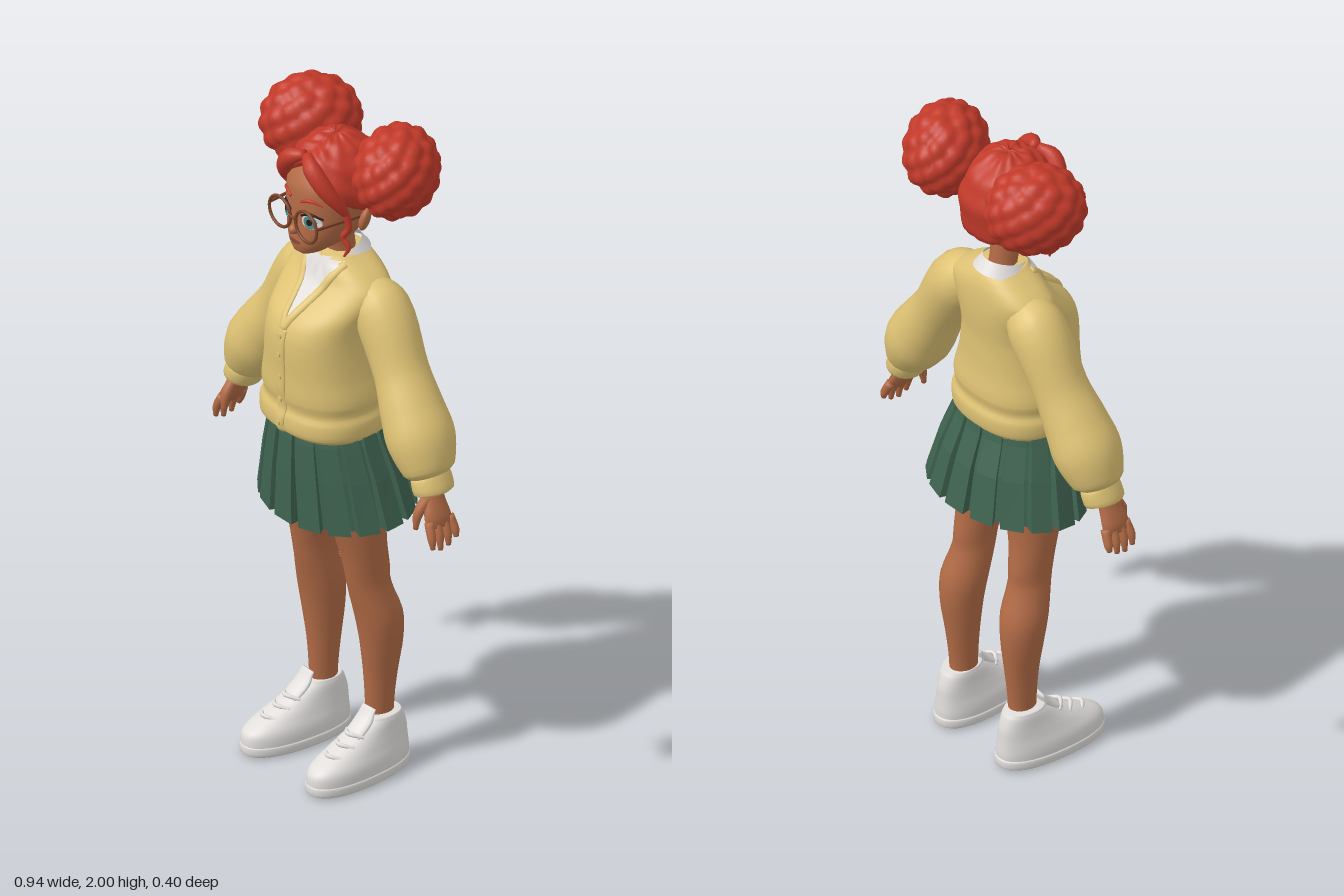
import * as THREE from 'three';
import { mergeVertices } from 'three/addons/utils/BufferGeometryUtils.js';

const V = (x, y, z) => new THREE.Vector3(x, y, z);
const mat = (name, color, side = THREE.FrontSide) => {
  const m = new THREE.MeshStandardMaterial({ color, side });
  m.name = name;
  return m;
};

// Skin closed rings of points, with optional end caps
function loft(rings, capStart = true, capEnd = true) {
  const n = rings[0].length, pos = [], idx = [];
  rings.flat().forEach(p => pos.push(p.x, p.y, p.z));
  for (let i = 0; i < rings.length - 1; i++) for (let j = 0; j < n; j++) {
    const k = (j + 1) % n, a = i * n + j, b = i * n + k;
    idx.push(a, b, b + n, a, b + n, a + n);
  }
  const cap = (r, flip) => {
    const c = rings[r].reduce((s, p) => s.add(p), V(0, 0, 0)).divideScalar(n), ci = pos.length / 3;
    pos.push(c.x, c.y, c.z);
    for (let j = 0; j < n; j++) {
      const a = r * n + j, b = r * n + (j + 1) % n;
      idx.push(ci, flip ? b : a, flip ? a : b);
    }
  };
  if (capStart) cap(0, true);
  if (capEnd) cap(rings.length - 1, false);
  const g = new THREE.BufferGeometry();
  g.setAttribute('position', new THREE.Float32BufferAttribute(pos, 3));
  g.setIndex(idx);
  g.computeVertexNormals();
  return g;
}

// Smoothly read a profile of rows [y, ...values] at height y
function sample(rows, y) {
  let i = 0;
  while (i < rows.length - 2 && y > rows[i + 1][0]) i++;
  const f = THREE.MathUtils.clamp((y - rows[i][0]) / (rows[i + 1][0] - rows[i][0]), 0, 1);
  const r = k => rows[THREE.MathUtils.clamp(k, 0, rows.length - 1)];
  return rows[i].slice(1).map((_, c) => {
    const [a, b, d, e] = [r(i - 1), r(i), r(i + 1), r(i + 2)].map(q => q[c + 1]);
    return b + 0.5 * f * (d - a + f * (2 * a - 5 * b + 4 * d - e + f * (3 * (b - d) + e - a)));
  });
}
const spow = (v, p) => Math.sign(v) * Math.abs(v) ** p;
// Body from rows [y, halfWidth, zFront, zBack, xCentre]
function body(rows, n = 2, seg = 32, sub = 3) {
  const rings = [];
  for (let i = 0; i <= (rows.length - 1) * sub; i++) {
    const k = Math.min(Math.floor(i / sub), rows.length - 2);
    const y = THREE.MathUtils.lerp(rows[k][0], rows[k + 1][0], i / sub - k);
    const [hx, zf, zb, xc = 0] = sample(rows, y);
    rings.push(Array.from({ length: seg }, (_, j) => {
      const a = j / seg * Math.PI * 2;
      return V(xc + hx * spow(Math.sin(a), 2 / n), y, (zf + zb) / 2 + (zf - zb) / 2 * spow(Math.cos(a), 2 / n));
    }));
  }
  return loft(rings);
}
const frontZ = (rows, n, x, y) => {
  const [hx, zf, zb] = sample(rows, y);
  return (zf + zb) / 2 + (zf - zb) / 2 * Math.max(0, 1 - Math.abs(x / hx) ** n) ** (1 / n);
};
// Tapered sweep; each radius is a number or [along ref, across]
function sweep(pts, radii, ref = V(0, 0, 1), steps = 4, seg = 12) {
  const curve = new THREE.CatmullRomCurve3(pts), total = (pts.length - 1) * steps, rings = [];
  const rows = radii.map((r, i) => [i, ...(Array.isArray(r) ? r : [r, r])]);
  for (let i = 0; i <= total; i++) {
    const t = i / total, p = curve.getPoint(t), T = curve.getTangent(t);
    const N = ref.clone().addScaledVector(T, -T.dot(ref)).normalize(), B = T.clone().cross(N);
    const [rn, rb] = sample(rows, t * (pts.length - 1));
    rings.push(Array.from({ length: seg }, (_, j) => {
      const a = j / seg * Math.PI * 2;
      return p.clone().addScaledVector(N, rn * Math.cos(a)).addScaledVector(B, rb * Math.sin(a));
    }));
  }
  return loft(rings);
}

const TORSO = [[1.065, 0.17, 0.18, -0.11], [1.08, 0.18, 0.195, -0.12], [1.12, 0.18, 0.195, -0.122], [1.145, 0.17, 0.185, -0.112],
  [1.18, 0.175, 0.192, -0.118], [1.25, 0.16, 0.192, -0.108], [1.35, 0.148, 0.194, -0.105], [1.41, 0.152, 0.172, -0.11],
  [1.46, 0.165, 0.118, -0.112], [1.5, 0.165, 0.078, -0.11], [1.53, 0.13, 0.065, -0.105], [1.555, 0.09, 0.055, -0.095], [1.575, 0.06, 0.045, -0.08]];
const HEAD = [[1.6, 0.022, 0.125, 0.07], [1.61, 0.042, 0.137, 0.03], [1.635, 0.07, 0.143, -0.03], [1.67, 0.092, 0.142, -0.075],
  [1.71, 0.105, 0.139, -0.1], [1.76, 0.11, 0.139, -0.11], [1.81, 0.108, 0.133, -0.11], [1.86, 0.088, 0.1, -0.09], [1.89, 0.055, 0.06, -0.05]];
const LEG = [[0.12, 0.034, -0.012, -0.094, 0.12], [0.2, 0.035, -0.01, -0.095, 0.12], [0.3, 0.043, -0.004, -0.106, 0.121], [0.4, 0.056, 0.008, -0.118, 0.124],
  [0.48, 0.063, 0.022, -0.114, 0.122], [0.57, 0.053, 0.042, -0.085, 0.114], [0.62, 0.053, 0.052, -0.082, 0.112], [0.7, 0.062, 0.068, -0.073, 0.107],
  [0.8, 0.073, 0.095, -0.075, 0.098], [0.9, 0.078, 0.105, -0.08, 0.093], [1.04, 0.08, 0.11, -0.08, 0.085]];
const SHOE = [[0, 0.06, 0.187, -0.12], [0.01, 0.07, 0.203, -0.133], [0.045, 0.072, 0.205, -0.136], [0.07, 0.069, 0.195, -0.134], [0.095, 0.061, 0.15, -0.132],
  [0.125, 0.053, 0.085, -0.129], [0.16, 0.047, 0.025, -0.118], [0.175, 0.042, 0.005, -0.108]];

// Oval plate laid on the front of the head
function decal(x, y, rx, ry, lift) {
  const g = new THREE.CircleGeometry(1, 20), p = g.attributes.position;
  for (let i = 0; i < p.count; i++) {
    const px = x + p.getX(i) * rx, py = y + p.getY(i) * ry;
    p.setXYZ(i, px, py, frontZ(HEAD, 2.3, px, py) + lift);
  }
  g.computeVertexNormals();
  return g;
}
// Ball covered in evenly spread curly lumps
function curlyBall(count) {
  let g = new THREE.IcosahedronGeometry(1, 14);
  g.deleteAttribute('uv'); g.deleteAttribute('normal');
  g = mergeVertices(g);
  const lumps = Array.from({ length: count }, (_, i) => {
    const y = 1 - 2 * (i + 0.5) / count, a = i * 2.39996, r = Math.sqrt(1 - y * y);
    return V(r * Math.cos(a), y, r * Math.sin(a));
  });
  const p = g.attributes.position, v = V(0, 0, 0);
  for (let i = 0; i < p.count; i++) {
    v.fromBufferAttribute(p, i).normalize();
    const near = Math.min(...lumps.map(l => v.angleTo(l)));
    v.multiplyScalar(0.88 + 0.14 * Math.max(0, 1 - (near / 0.34) ** 1.5));
    p.setXYZ(i, v.x, v.y, v.z);
  }
  g.computeVertexNormals();
  return g;
}
// Scalp hair with a centre parting and a hairline that drops toward the back
function hairCap() {
  const line = [[0, 1.87], [25, 1.835], [50, 1.775], [75, 1.735], [95, 1.715], [115, 1.685], [180, 1.67]], rings = [];
  for (let i = 0; i <= 26; i++) {
    const v = 1 - i / 26 * 0.985;
    rings.push(Array.from({ length: 64 }, (_, j) => {
      const a = j / 64 * Math.PI * 2, deg = 180 - Math.abs(180 - a * 180 / Math.PI);
      const dy = sample(line, deg)[0] - 1.79, th = v * Math.acos(dy / (dy > 0 ? 0.14 : 0.2)), s = Math.sin(th), c = Math.cos(th);
      let k = 1 + 0.018 * Math.sin(v * 24 + Math.cos(a) * 2) + 0.012 * Math.cos(a * 12);
      k *= (1 - 0.05 * Math.exp(-((s * Math.sin(a) / 0.12) ** 2))) * (i === 0 ? 0.8 : i === 1 ? 0.94 : 1);
      return V(0.125 * s * Math.sin(a) * k, 1.79 + c * (c > 0 ? 0.145 : 0.2) * k, 0.003 + 0.14 * s * Math.cos(a) * k);
    }));
  }
  return loft(rings, false, true);
}
// Pleated skirt, open at the hem
function pleats(count) {
  const rows = [[0, 0.242, 0.18, -0.187], [0.5, 0.208, 0.178, -0.155], [0.85, 0.178, 0.172, -0.12], [1, 0.165, 0.165, -0.11]];
  const rings = rows.map(([t, hx, zf, zb]) => Array.from({ length: count * 4 }, (_, j) => {
    const a = (Math.floor(j / 4) + [0.06, 0.8, 0.82, 1.0][j % 4] - 0.43) / count * Math.PI * 2;
    const k = j % 4 < 2 ? 1.04 : 1.04 - 0.14 * (1 - 0.65 * t);
    return V(hx * k * Math.sin(a), THREE.MathUtils.lerp(0.81 - 0.018 * Math.cos(a), 1.09, t), (zf + zb) / 2 + (zf - zb) / 2 * k * Math.cos(a));
  }));
  const g = loft(rings, false, false).toNonIndexed();
  g.computeVertexNormals();
  return g;
}
// White shirt front filling the V neck
function shirtFront() {
  const g = new THREE.PlaneGeometry(2, 1, 10, 14), p = g.attributes.position;
  for (let i = 0; i < p.count; i++) {
    const t = p.getY(i) + 0.5, y = 1.39 + 0.175 * t, x = p.getX(i) * 0.066 * t;
    p.setXYZ(i, x, y, frontZ(TORSO, 2.4, x, y) + 0.005);
  }
  g.computeVertexNormals();
  return g;
}
// Folded collar, open at the front with pointed tips
function collarGeometry() {
  const g = new THREE.PlaneGeometry(1, 1, 40, 3), p = g.attributes.position;
  for (let i = 0; i < p.count; i++) {
    const u = p.getX(i) + 0.5, t = 0.5 - p.getY(i), a = 0.12 + u * (Math.PI * 2 - 0.24);
    const d = Math.min(a, Math.PI * 2 - a), tip = Math.exp(-(((d - 0.72) / 0.4) ** 2));
    const y = 1.585 - 0.017 * Math.cos(a) - t * (0.04 + 0.05 * tip + 0.008 * Math.cos(a));
    const r = 0.055 + t * (0.026 + 0.026 * tip);
    p.setXYZ(i, r * Math.sin(a), y, -0.01 + (r + 0.008) * Math.cos(a));
  }
  g.computeVertexNormals();
  return g;
}

export function createModel() {
  const root = new THREE.Group(), D = THREE.DoubleSide;
  const hair = mat('red hair', 0xc23a2a), skin = mat('brown skin', 0xb26b46), knit = mat('yellow knit', 0xdec274);
  const green = mat('green cloth', 0x3f6350, D), white = mat('white', 0xe0dddb, D), frame = mat('glasses brown', 0x7d4428);
  const teal = mat('iris teal', 0x4f9088), dark = mat('dark brown', 0x2c1a15), lip = mat('lip brown', 0x8c4836);
  const add = (name, geo, m, x = 0, y = 0, z = 0) => {
    const o = new THREE.Mesh(geo, m);
    o.name = name;
    o.position.set(x, y, z);
    root.add(o);
    return o;
  };

  // Head and neck
  add('head', body(HEAD, 2.3, 40), skin);
  add('neck', sweep([V(0, 1.5, -0.02), V(0, 1.58, -0.015), V(0, 1.66, 0)], [0.05, 0.04, 0.045]), skin);
  add('nose', new THREE.SphereGeometry(1, 16, 12), skin, 0, 1.68, 0.142).scale.set(0.014, 0.015, 0.021);
  add('mouth', decal(0, 1.643, 0.024, 0.007, 0.003), lip);
  add('hairCap', hairCap(), hair);
  add('glassesBridge', sweep([V(-0.012, 1.718, 0.152), V(0, 1.724, 0.158), V(0.012, 1.718, 0.152)], [0.004, 0.004, 0.004]), frame);
  const bun = curlyBall(72);

  // Clothes
  add('cardigan', body(TORSO, 2.4, 48), knit);
  add('shirtFront', shirtFront(), white);
  add('collar', collarGeometry(), white);
  add('skirt', pleats(16), green);
  const onChest = (x, y, lift) => V(x, y, frontZ(TORSO, 2.4, x, y) + lift);
  const placket = [1.075, 1.11, 1.145, 1.2, 1.26, 1.32, 1.36, 1.385];
  add('placket', sweep(placket.map(y => onChest(0, y, 0)), placket.map(() => [0.006, 0.018])), knit);
  [1.1, 1.17, 1.24, 1.31, 1.365].forEach(y => {
    const p = onChest(0, y, 0.007);
    add('button', new THREE.CylinderGeometry(0.008, 0.008, 0.006, 14), knit, p.x, p.y, p.z).rotation.x = Math.PI / 2;
  });

  for (const s of [1, -1]) {
    const P = (x, y, z) => V(s * x, y, z), side = s > 0 ? 'left' : 'right';
    const path = (list) => list.map(q => P(...q));
    // Hair
    const b = add(side + 'HairBun', bun, hair, s * 0.183, 1.867, -0.06);
    b.scale.set(0.117, 0.132, 0.142);
    b.rotation.y = s * 0.5;
    add(side + 'FrontLock', sweep(path([[0.004, 1.895, 0.105], [0.045, 1.877, 0.122], [0.085, 1.825, 0.108], [0.108, 1.77, 0.075], [0.112, 1.73, 0.05]]),
      [0.014, 0.024, 0.024, 0.017, 0.008]), hair);
    add(side + 'LooseCurl', sweep(path([[0.11, 1.75, 0.06], [0.118, 1.7, 0.052], [0.102, 1.67, 0.06], [0.117, 1.64, 0.052], [0.105, 1.61, 0.058]]),
      [0.01, 0.009, 0.008, 0.007, 0.003]), hair);
    // Face
    const ear = add(side + 'Ear', new THREE.SphereGeometry(1, 16, 12), skin, s * 0.122, 1.712, 0);
    ear.scale.set(0.014, 0.036, 0.024);
    ear.rotation.set(0, s * 0.5, -s * 0.25);
    add(side + 'EyeWhite', decal(s * 0.051, 1.717, 0.027, 0.021, 0.002), white);
    add(side + 'Iris', decal(s * 0.05, 1.717, 0.018, 0.02, 0.004), teal);
    add(side + 'Pupil', decal(s * 0.05, 1.717, 0.008, 0.01, 0.006), dark);
    const onFace = ([x, y]) => V(s * x, y, frontZ(HEAD, 2.3, x, y) + 0.002);
    add(side + 'Eyelash', sweep([[0.022, 1.73], [0.05, 1.741], [0.08, 1.729]].map(onFace), [0.003, 0.004, 0.003]), dark);
    add(side + 'Eyebrow', sweep([[0.022, 1.772], [0.05, 1.782], [0.08, 1.77]].map(onFace), [0.004, 0.005, 0.002]), hair);
    // Glasses
    add(side + 'GlassesRim', new THREE.TorusGeometry(0.045, 0.0045, 8, 32), frame, s * 0.056, 1.712, 0.15);
    add(side + 'GlassesArm', new THREE.BoxGeometry(0.006, 0.007, 0.15), frame, s * 0.108, 1.722, 0.075).rotation.y = -s * 0.1;
    // Sleeve, cuff and neckline trim
    add(side + 'Sleeve', sweep(path([[0.09, 1.475, -0.025], [0.155, 1.435, -0.03], [0.245, 1.29, -0.025], [0.3, 1.2, -0.018], [0.345, 1.125, -0.014], [0.383, 1.05, -0.01], [0.392, 1.03, -0.01]]),
      [0.06, 0.082, [0.078, 0.074], [0.09, 0.084], [0.097, 0.09], [0.075, 0.066], [0.05, 0.044]], V(0, 0, 1), 5, 20), knit);
    add(side + 'Cuff', sweep(path([[0.386, 1.043, -0.01], [0.392, 1.03, -0.01], [0.407, 0.995, -0.008], [0.409, 0.989, -0.008]]),
      [0.05, [0.06, 0.05], [0.059, 0.049], 0.04], V(0, 0, 1), 3, 20), knit);
    add(side + 'NeckTrim', sweep([0, 0.2, 0.4, 0.6, 0.8, 1].map(t => onChest(s * 0.07 * t, 1.385 + 0.175 * t, 0.002)),
      [0, 1, 2, 3, 4, 5].map(() => [0.007, 0.012])), knit);
    // Hand
    add(side + 'Palm', sweep(path([[0.4, 1.02, -0.005], [0.418, 0.975, 0], [0.438, 0.93, 0.003], [0.447, 0.905, 0.004]]),
      [[0.028, 0.02], [0.034, 0.02], [0.044, 0.019], [0.038, 0.013]]), skin);
    [-0.034, -0.011, 0.013, 0.036].forEach((z, i) => add(side + 'Finger', sweep(path([[0.44, 0.925, z], [0.459, 0.885, z * 1.15],
      [0.464, 0.845 + [0.022, 0.006, 0, 0.01][i], z * 1.15]]), [0.013, 0.012, 0.007]), skin));
    add(side + 'Thumb', sweep(path([[0.413, 0.985, 0.02], [0.411, 0.945, 0.05], [0.41, 0.9, 0.058]]), [0.016, 0.014, 0.007]), skin);
    // Leg and shoe
    add(side + 'Leg', body(LEG.map(r => [...r.slice(0, 4), s * r[4]]), 2, 24), skin);
    const shoe = new THREE.Group();
    shoe.name = side + 'Shoe';
    const part = (name, geo) => { const m = new THREE.Mesh(geo, white); m.name = name; shoe.add(m); };
    part('shoeUpper', body(SHOE, 2.3, 32));
    part('shoeTongue', sweep([V(0, 0.13, 0.055), V(0, 0.165, 0.012), V(0, 0.2, -0.008)], [[0.012, 0.032], [0.012, 0.032], [0.006, 0.026]]));
    part('shoeSole', body([[0.002, 0.068, 0.198, -0.13], [0.008, 0.074, 0.207, -0.138], [0.03, 0.075, 0.208, -0.139], [0.036, 0.07, 0.203, -0.134]], 2.3, 32));
    [[0.1, 0.135], [0.12, 0.095], [0.14, 0.062]].forEach(([y, z]) =>
      part('lace', sweep([V(-0.035, y - 0.004, z - 0.02), V(0, y + 0.004, z + 0.006), V(0.035, y - 0.004, z - 0.02)], [0.005, 0.006, 0.005])));
    shoe.position.x = s * 0.131;
    shoe.rotation.y = s * 0.06;
    root.add(shoe);
  }
  return root;
}
